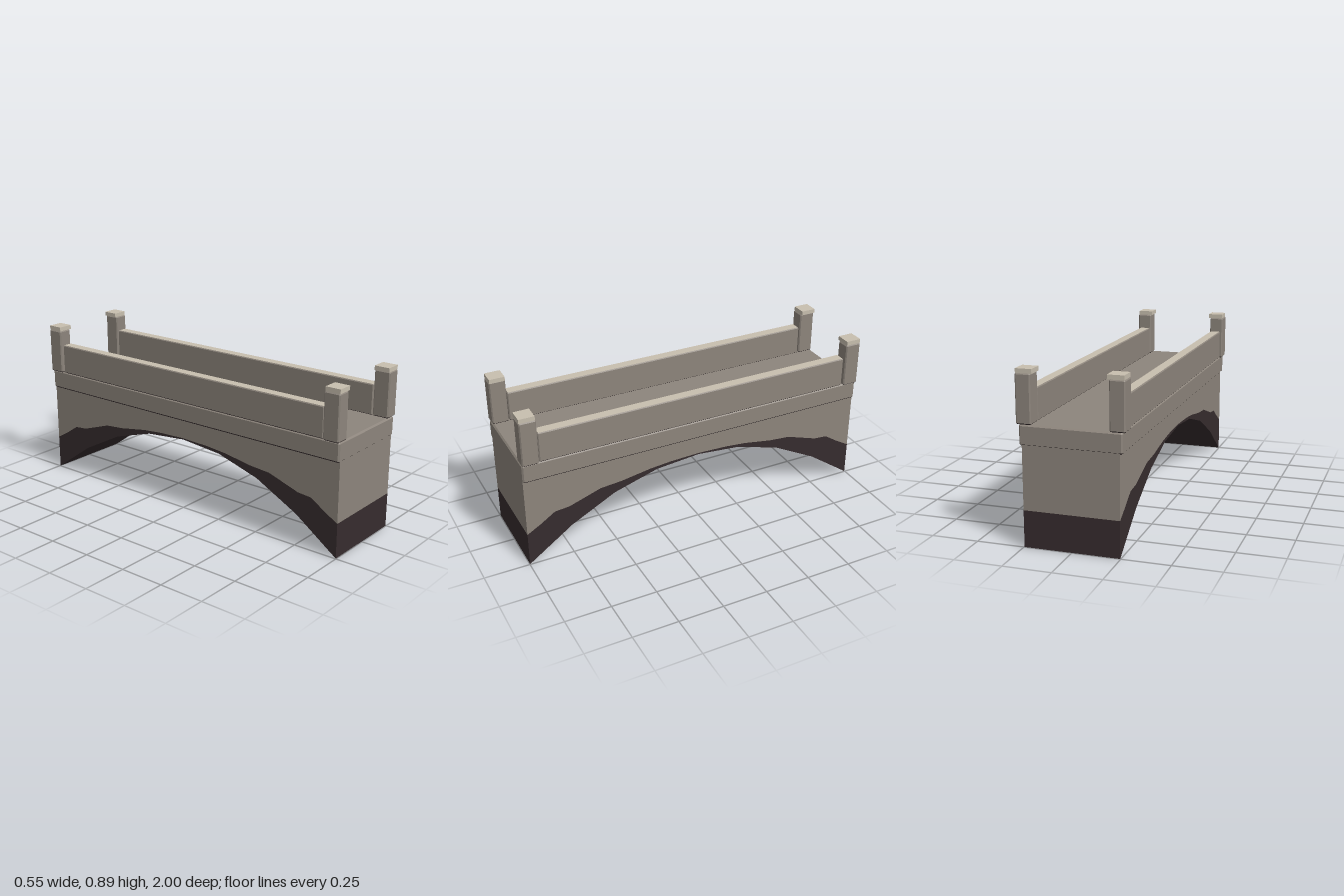
import * as THREE from 'three';
import { ConvexGeometry } from 'three/addons/geometries/ConvexGeometry.js';

const mat = (name, color) => {
  const m = new THREE.MeshStandardMaterial({ color });
  m.name = name;
  return m;
};

export function createModel() {
  const stone = mat('stone', 0x8d857c);
  const dark = mat('dampStone', 0x362c2e);
  const pale = mat('paleStone', 0xc8bfaf);
  const bridge = new THREE.Group();
  bridge.name = 'bridge';

  const add = (name, geometry, material) => {
    const mesh = new THREE.Mesh(geometry, material);
    mesh.name = name;
    bridge.add(mesh);
  };

  // Box with all edges chamfered; dark underside and a chosen top colour
  function chamferBox(name, [x0, x1], [y0, y1], [z0, z1], c, top) {
    const w = (x1 - x0) / 2, h = (y1 - y0) / 2, d = (z1 - z0) / 2;
    const points = [];
    for (const sx of [-1, 1]) for (const sy of [-1, 1]) for (const sz of [-1, 1]) {
      points.push(new THREE.Vector3(sx * w, sy * (h - c), sz * (d - c)));
      points.push(new THREE.Vector3(sx * (w - c), sy * h, sz * (d - c)));
      points.push(new THREE.Vector3(sx * (w - c), sy * (h - c), sz * d));
    }
    const g = new ConvexGeometry(points);
    const normal = g.attributes.normal;
    for (let i = 0; i < normal.count; i += 3) {
      const ny = normal.getY(i);
      g.addGroup(i, 3, ny > 0.95 ? 1 : ny < -0.3 ? 2 : 0);
    }
    g.translate((x0 + x1) / 2, (y0 + y1) / 2, (z0 + z1) / 2);
    add(name, g, [stone, top, dark]);
  }

  // Mirror half a side profile [z, y], listed from the end to the middle
  const mirror = half => [...half, ...half.slice(0, -1).reverse().map(([z, y]) => [-z, y])];
  const END = 0.998, WIDTH = 0.494;
  const arch = mirror([[END, 0], [0.75, 0.175], [0.5, 0.305], [0.25, 0.38], [0, 0.403]]);
  const damp = mirror([[END, 0.19], [0.92, 0.235], [0.84, 0.288], [0.76, 0.295], [0.67, 0.325],
    [0.58, 0.355], [0.46, 0.365], [0.29, 0.393], [0.17, 0.404], [0, 0.41]]);

  // Side profile extruded across the width of the bridge
  function wall(name, outline, material) {
    const shape = new THREE.Shape(outline.map(([z, y]) => new THREE.Vector2(z, y)));
    const g = new THREE.ExtrudeGeometry(shape, { depth: WIDTH, bevelEnabled: false });
    g.translate(0, 0, -WIDTH / 2).rotateY(-Math.PI / 2);
    add(name, g, material);
  }
  wall('archWall', [...damp, [-END, 0.52], [END, 0.52]], stone);
  wall('dampArch', [...arch, ...damp.slice().reverse()], dark);

  // Deck slab
  chamferBox('deck', [-0.261, 0.261], [0.514, 0.62], [-1, 1], 0.008, stone);

  // Parapets, corner posts and their caps
  const span = (s, a, b) => (s > 0 ? [a, b] : [-b, -a]);
  for (const sx of [1, -1]) {
    chamferBox('parapet', span(sx, 0.2, 0.262), [0.618, 0.785], [-0.905, 0.905], 0.005, pale);
    for (const sz of [1, -1]) {
      chamferBox('post', span(sx, 0.196, 0.275), [0.619, 0.868], span(sz, 0.91, 1), 0.006, pale);
      const cap = new THREE.BoxGeometry(0.084, 0.023, 0.085);
      cap.translate(sx * 0.229, 0.8795, sz * 0.9565);
      add('postCap', cap, pale);
    }
  }
  return bridge;
}
